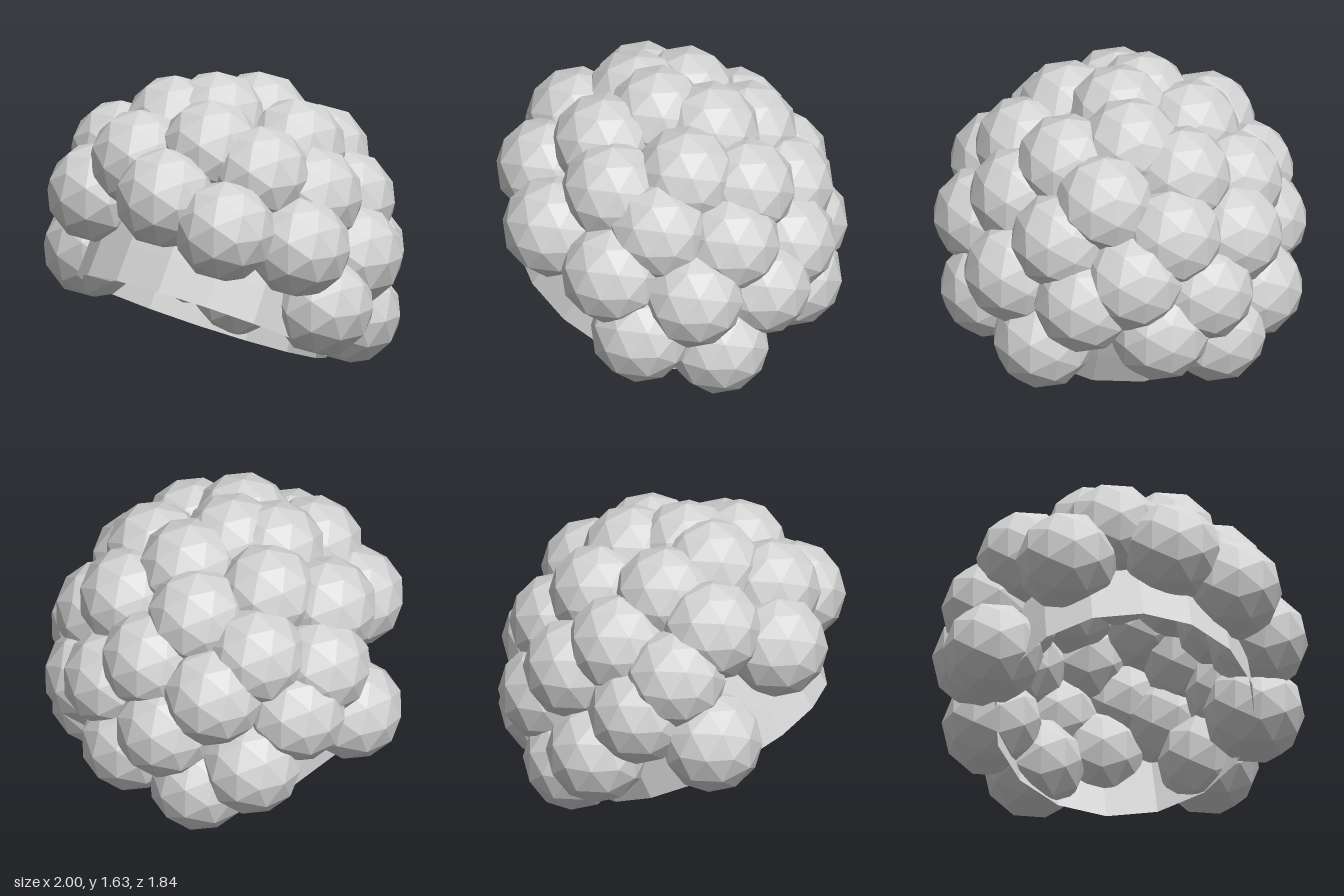
import * as THREE from 'three';

// Curl centres, by region: [x, y, z]
const CURLS = {
  crownCurl: [
    [0.015, 1.303, -0.205], [-0.005, 1.35, 0.085], [-0.17, 1.325, 0.235], [-0.375, 1.245, 0.01],
    [0.35, 1.225, -0.15], [-0.225, 1.175, -0.355], [0.225, 1.12, -0.445], [0.205, 1.275, 0.335],
  ],
  frontCurl: [
    [-0.12, 1.2, 0.545], [0.178, 1.06, 0.645], [-0.378, 0.985, 0.612], [0.52, 0.92, 0.535],
  ],
  leftCurl: [
    [0.47, 1.16, 0.225], [0.718, 0.802, 0.172], [0.725, 0.458, 0.008], [0.58, 1.018, -0.05],
    [0.67, 0.68, -0.262], [0.455, 0.915, -0.415], [0.54, 0.32, -0.372],
  ],
  rightCurl: [
    [-0.55, 1.03, -0.22], [-0.54, 1.13, 0.28], [-0.7, 0.91, 0.1], [-0.728, 0.57, 0.3],
    [-0.72, 0.71, -0.09], [-0.63, 0.435, -0.325],
  ],
  backCurl: [
    [0.37, 0.61, -0.565], [-0.11, 0.945, -0.58], [0.125, 0.745, -0.645], [-0.025, 0.425, -0.645],
    [-0.275, 0.615, -0.62], [-0.48, 0.85, -0.465], [-0.385, 0.278, -0.475],
  ],
};

export function createModel() {
  const model = new THREE.Group();
  model.name = 'curlyHair';

  const hair = new THREE.MeshStandardMaterial({ color: 0xd4d4d4, flatShading: true, side: THREE.DoubleSide });
  hair.name = 'hairGrey';

  // Open cap under the curls, tipped back so the forehead is clear
  const profile = [[0.7, 0], [0.69, 0.2], [0.67, 0.45], [0.62, 0.65], [0.48, 0.88], [0.27, 1.03], [0, 1.09]]
    .map(([r, h]) => new THREE.Vector2(r, h));
  const cap = new THREE.Mesh(new THREE.LatheGeometry(profile, 16), hair);
  cap.name = 'cap';
  cap.position.set(0, 0.303, 0.207);
  cap.rotation.x = THREE.MathUtils.degToRad(-25.8);
  model.add(cap);

  // Faceted round curls covering the cap
  const curlShape = new THREE.IcosahedronGeometry(0.274, 1);
  for (const [name, centres] of Object.entries(CURLS)) {
    const region = new THREE.Group();
    region.name = name + 's';
    for (const centre of centres) {
      const curl = new THREE.Mesh(curlShape, hair);
      curl.name = name;
      curl.position.set(...centre);
      region.add(curl);
    }
    model.add(region);
  }
  return model;
}
